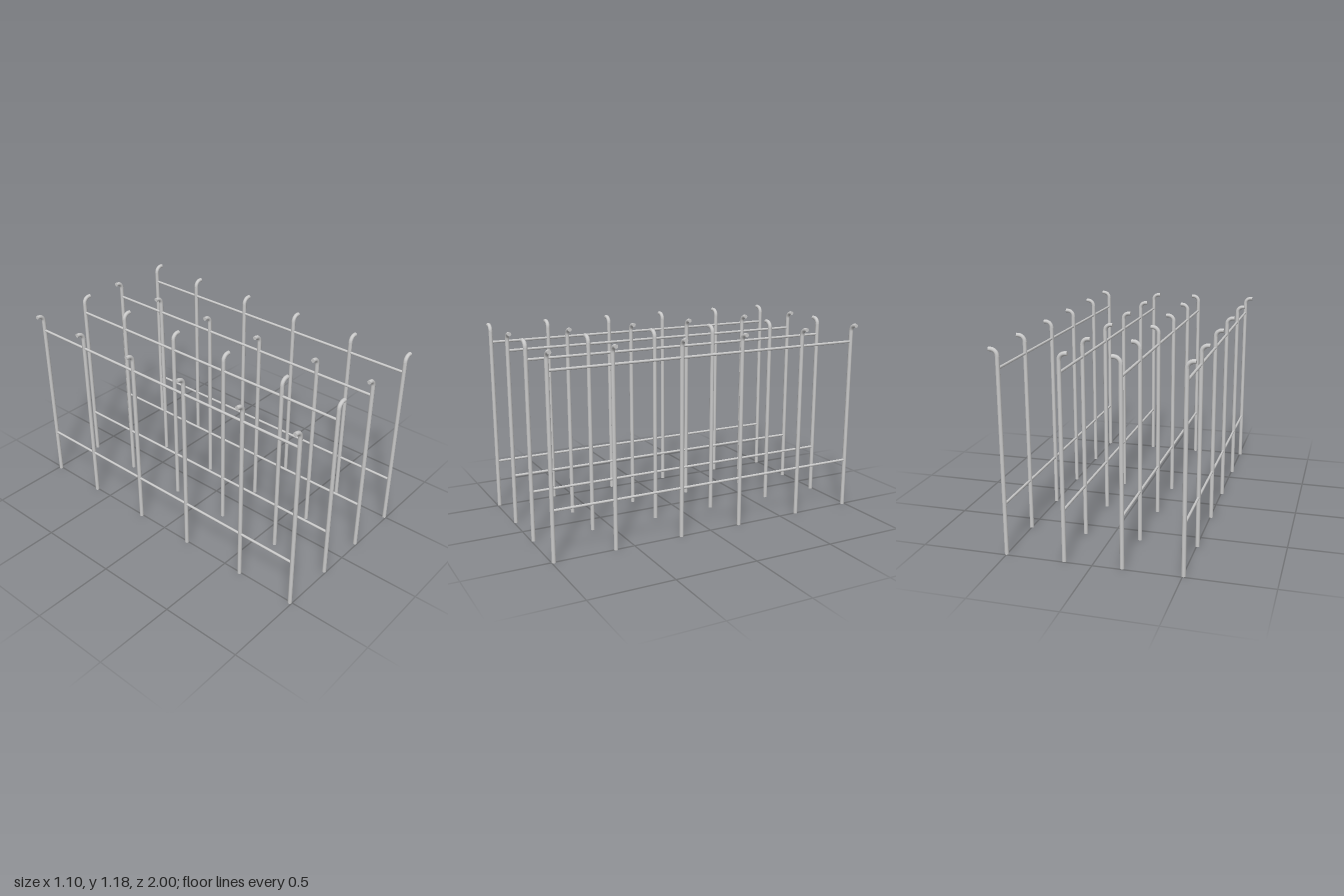
import * as THREE from 'three';
import { mergeGeometries } from 'three/addons/utils/BufferGeometryUtils.js';

const SIDES = 8;
const POST_R = 0.0125, RAIL_R = 0.008;
const BOTTOM = 0.375, TOP = 1.539;      // foot of post, centreline of hook
const BEND = 0.036, REACH = 0.047;      // bend radius, hook length from post axis

// each row: x position and the direction its hooks point
const ROWS = [
  { x: -0.505, dir: -1 },
  { x: -0.167, dir: 1 },
  { x: 0.162, dir: -1 },
  { x: 0.501, dir: 1 },
];
const POST_Z = [-0.987, -0.617, -0.197, 0.197, 0.617, 0.987];
const RAIL_Y = [0.673, 1.437];

// Post with a quarter bend and short lip pointing to +x
function postGeometry() {
  const bendY = TOP - BEND;
  const shaft = new THREE.CylinderGeometry(POST_R, POST_R, bendY - BOTTOM, SIDES, 1, true);
  shaft.translate(0, (bendY + BOTTOM) / 2, 0);
  const foot = new THREE.CircleGeometry(POST_R, SIDES).rotateX(Math.PI / 2);
  foot.translate(0, BOTTOM, 0);

  const points = [];
  for (let i = 0; i <= 6; i++) {
    const a = (i / 6) * Math.PI / 2;
    points.push(new THREE.Vector3(BEND * (1 - Math.cos(a)), bendY + BEND * Math.sin(a), 0));
  }
  points.push(new THREE.Vector3(REACH, TOP, 0));
  const hook = new THREE.TubeGeometry(new THREE.CatmullRomCurve3(points), 10, POST_R, SIDES);
  const tip = new THREE.CircleGeometry(POST_R, SIDES).rotateY(Math.PI / 2);
  tip.translate(REACH, TOP, 0);
  return mergeGeometries([shaft, foot, hook, tip]);
}

export function createModel() {
  const model = new THREE.Group();
  model.name = 'hookedPostRack';
  const metal = new THREE.MeshStandardMaterial({ color: 0xcccccc, side: THREE.DoubleSide });
  const post = postGeometry();
  const length = POST_Z[POST_Z.length - 1] - POST_Z[0];
  const rail = new THREE.CylinderGeometry(RAIL_R, RAIL_R, length, SIDES).rotateX(Math.PI / 2);

  ROWS.forEach(({ x, dir }, r) => {
    const row = new THREE.Group();
    row.name = `postRow${r + 1}`;
    row.position.x = x;

    // hooked upright posts, turned to face the row's hook direction
    POST_Z.forEach((z, i) => {
      const mesh = new THREE.Mesh(post, metal);
      mesh.name = `hookedPost${i + 1}`;
      mesh.position.z = z;
      mesh.rotation.y = dir < 0 ? Math.PI : 0;
      row.add(mesh);
    });

    // lower and upper rails joining the posts
    RAIL_Y.forEach((y, i) => {
      const mesh = new THREE.Mesh(rail, metal);
      mesh.name = i ? 'upperRail' : 'lowerRail';
      mesh.position.y = y;
      row.add(mesh);
    });
    model.add(row);
  });
  return model;
}
